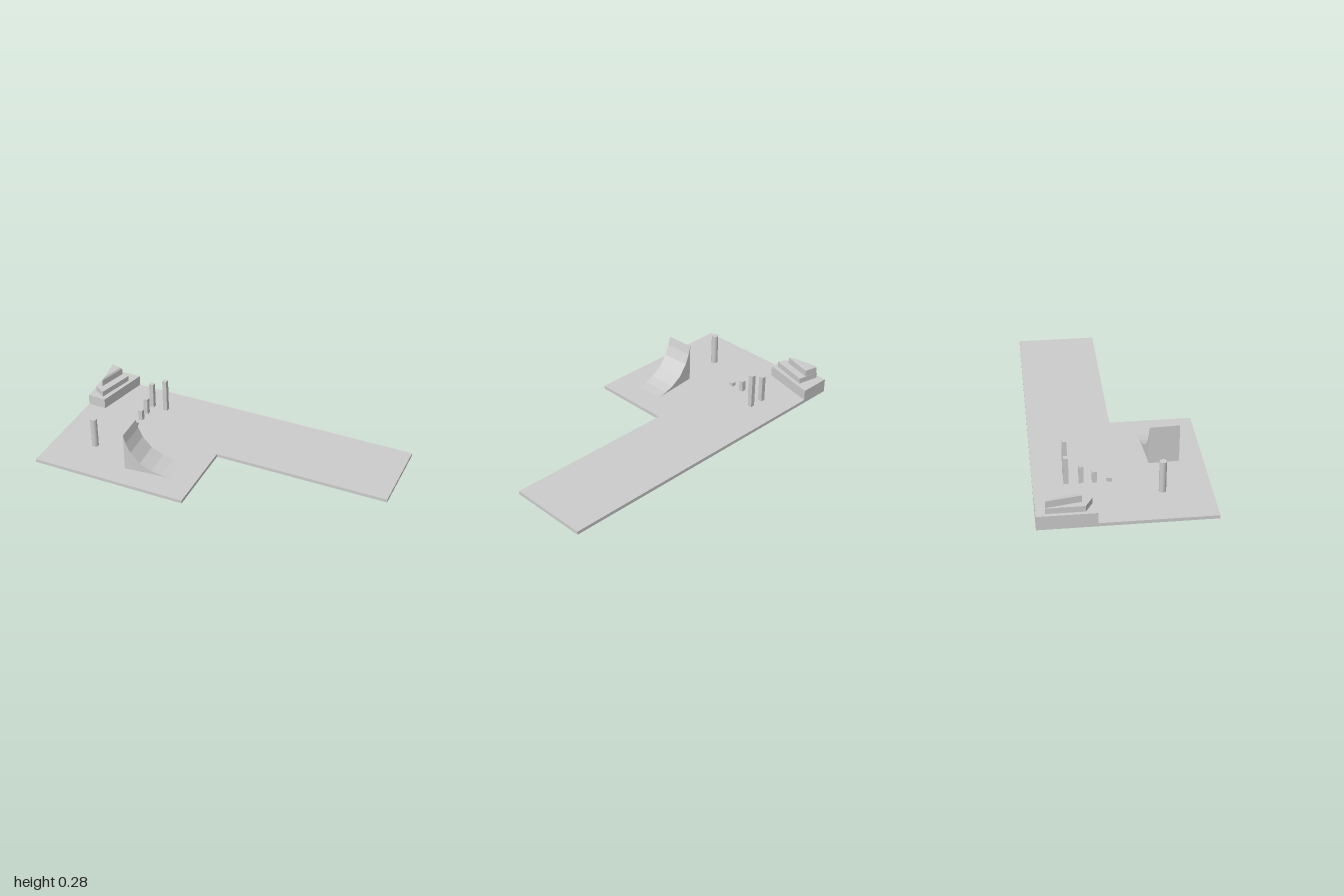
import * as THREE from 'three';

const material = new THREE.MeshStandardMaterial({ color: 0xcccccc, flatShading: true });

function addPart(group, name, geometry) {
  const mesh = new THREE.Mesh(geometry, material);
  mesh.name = name;
  group.add(mesh);
  return mesh;
}

// Upright prism from an [x, z] outline, with the top optionally shrunk to its centre
function prism(outline, y0, y1, topScale = 1) {
  const shape = new THREE.Shape(outline.map(([x, z]) => new THREE.Vector2(x, -z)));
  const geometry = new THREE.ExtrudeGeometry(shape, { depth: y1 - y0, bevelEnabled: false });
  geometry.rotateX(-Math.PI / 2).translate(0, y0, 0);
  const cx = outline.reduce((s, p) => s + p[0], 0) / outline.length;
  const cz = outline.reduce((s, p) => s + p[1], 0) / outline.length;
  const pos = geometry.attributes.position;
  for (let i = 0; i < pos.count; i++) {
    if (pos.getY(i) < (y0 + y1) / 2) continue;
    pos.setX(i, cx + (pos.getX(i) - cx) * topScale);
    pos.setZ(i, cz + (pos.getZ(i) - cz) * topScale);
  }
  geometry.computeVertexNormals();
  return geometry;
}

export function createModel() {
  const model = new THREE.Group();
  const floorTop = 0.05;

  // L-shaped floor slab
  addPart(model, 'floor', prism(
    [[-1, -0.48], [1, -0.48], [1, 0], [-0.05, 0], [-0.05, 0.48], [-1, 0.48]], 0.03, floorTop));

  // Stepped platform in the back corner
  const platform = new THREE.Group();
  platform.name = 'steppedPlatform';
  model.add(platform);
  addPart(platform, 'lowerTier', prism(
    [[-1, -0.48], [-0.81, -0.48], [-0.885, -0.152], [-1, -0.157]], floorTop, 0.115));
  addPart(platform, 'middleTier', prism(
    [[-0.98, -0.43], [-0.85, -0.403], [-0.91, -0.178], [-0.98, -0.22]], 0.115, 0.15));
  const triangle = [[-0.975, -0.428], [-0.895, -0.41], [-0.942, -0.236]];
  addPart(platform, 'upperTier', prism(triangle, 0.15, 0.19));
  addPart(platform, 'upperTierCap', prism(triangle, 0.19, 0.2, 0.78));

  // Square posts of rising height: x, z, bottom, top
  const posts = [
    [-0.625, -0.062, floorTop, 0.073],
    [-0.625, -0.142, 0.004, 0.117],
    [-0.625, -0.215, floorTop, 0.155],
    [-0.625, -0.297, 0, 0.215],
    [-0.533, -0.297, floorTop, 0.262],
  ];
  for (const [x, z, y0, y1] of posts) {
    addPart(model, 'squarePost', new THREE.BoxGeometry(0.027, y1 - y0, 0.027))
      .position.set(x, (y0 + y1) / 2, z);
  }

  // Round column
  const column = new THREE.CylinderGeometry(0.02, 0.02, 0.19, 24);
  addPart(model, 'roundColumn', column).position.set(-0.75, floorTop + 0.095, 0.212);
  model.children.at(-1).material = new THREE.MeshStandardMaterial({ color: 0xcccccc });

  // Concave quarter ramp, skewed a little towards the back
  const profile = [[0, 0.05], [0.285, 0.05], [0.225, 0.056], [0.165, 0.072], [0.095, 0.108],
    [0.04, 0.172], [0.014, 0.23], [0, 0.283]];
  const ramp = new THREE.ExtrudeGeometry(
    new THREE.Shape(profile.map((p) => new THREE.Vector2(...p))), { depth: 0.17, bevelEnabled: false });
  const skew = new THREE.Matrix4().set(
    1, 0, 0.04, -0.488,
    0, 1, 0, 0,
    -0.085, 0, 1, 0.174,
    0, 0, 0, 1);
  addPart(model, 'curvedRamp', ramp.applyMatrix4(skew));

  return model;
}
